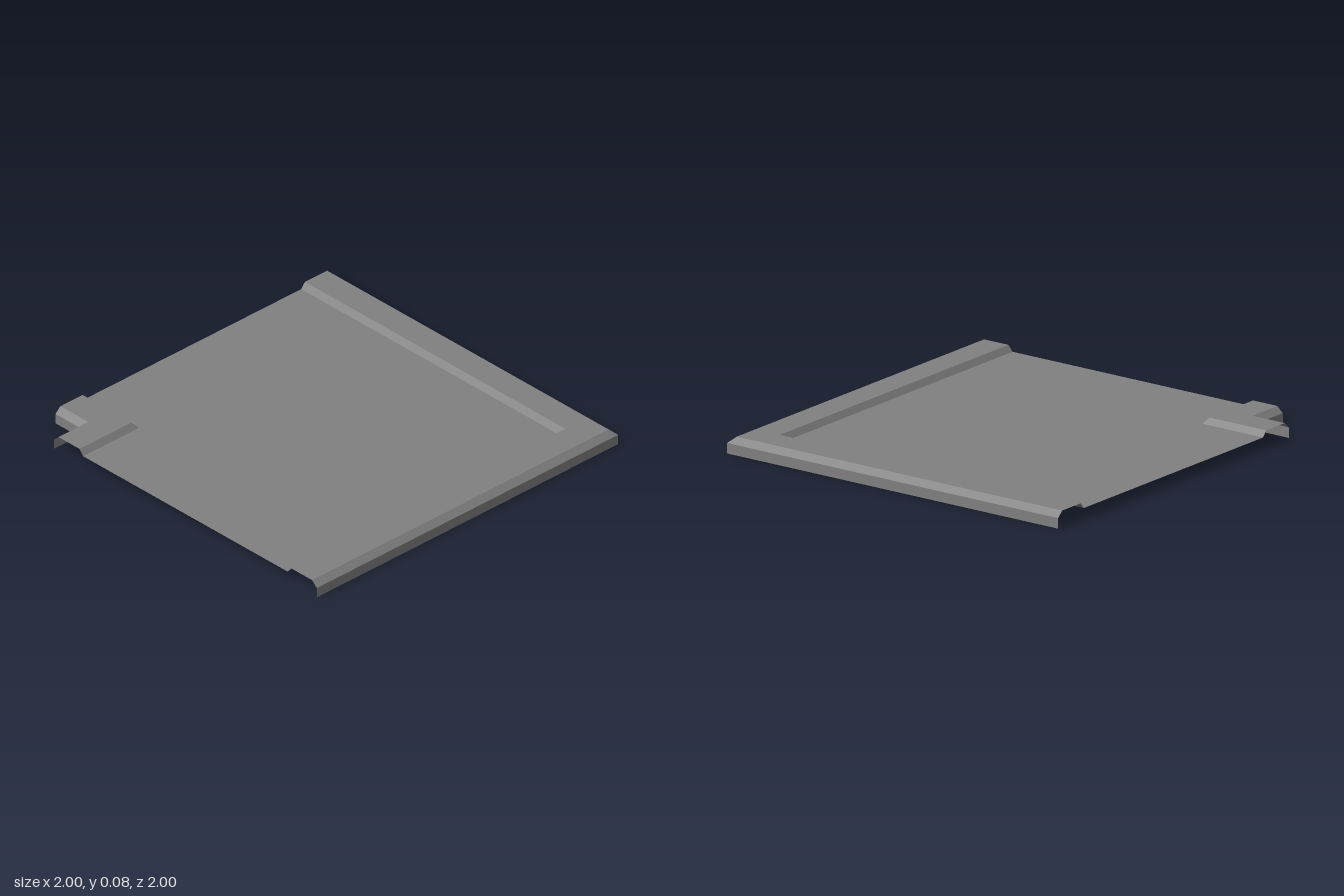
import * as THREE from 'three';

// rim cross-section: [distance inward from outer edge, height]
const PROFILE = [[0, 0], [0, 0.053], [0.033, 0.083], [0.18, 0.083], [0.205, 0.053]];
const WIDTH = 0.205, FLOOR_Y = 0.053;
// outer corners of the two L-shaped rims; s is the inward direction along x
const OUTER = { cx: 1, cz: -1, s: -1 };
const INNER = { cx: -0.838, cz: 0.835, s: 1 };

// mitred L-shaped path at a given distance from the outer edge
function rail({ cx, cz, s }, d) {
  const x = cx + s * d, z = cz - s * d;
  return [[-1, z], [x, z], [x, 1]];
}

function rimGeometry(corner) {
  const pos = [];
  for (let i = 0; i < PROFILE.length - 1; i++) {
    const [da, ya] = PROFILE[i], [db, yb] = PROFILE[i + 1];
    const ra = rail(corner, da), rb = rail(corner, db);
    for (let k = 0; k < 2; k++) {
      const a0 = [ra[k][0], ya, ra[k][1]], a1 = [ra[k + 1][0], ya, ra[k + 1][1]];
      const b0 = [rb[k][0], yb, rb[k][1]], b1 = [rb[k + 1][0], yb, rb[k + 1][1]];
      const quad = corner.s < 0 ? [a0, b0, b1, a0, b1, a1] : [a0, b1, b0, a0, a1, b1];
      pos.push(...quad.flat());
    }
  }
  const geo = new THREE.BufferGeometry();
  geo.setAttribute('position', new THREE.Float32BufferAttribute(pos, 3));
  geo.computeVertexNormals();
  return geo;
}

export function createModel() {
  const group = new THREE.Group();
  group.name = 'cornerFloorTile';
  const grey = new THREE.MeshStandardMaterial({ color: 0x808080, side: THREE.DoubleSide });
  grey.name = 'grey';

  const add = (name, geo) => {
    const mesh = new THREE.Mesh(geo, grey);
    mesh.name = name;
    group.add(mesh);
    return mesh;
  };

  // raised rims: long outer edge and small notched corner
  add('outerRim', rimGeometry(OUTER));
  add('innerCornerRim', rimGeometry(INNER));

  // flat floor between the rims
  const [o0, o1, o2] = rail(OUTER, WIDTH), [i0, i1, i2] = rail(INNER, WIDTH);
  const outline = [o0, o1, o2, i2, i1, i0].map(([x, z]) => new THREE.Vector2(x, -z));
  const floor = add('floor', new THREE.ShapeGeometry(new THREE.Shape(outline)).rotateX(-Math.PI / 2));
  floor.position.y = FLOOR_Y;

  return group;
}
